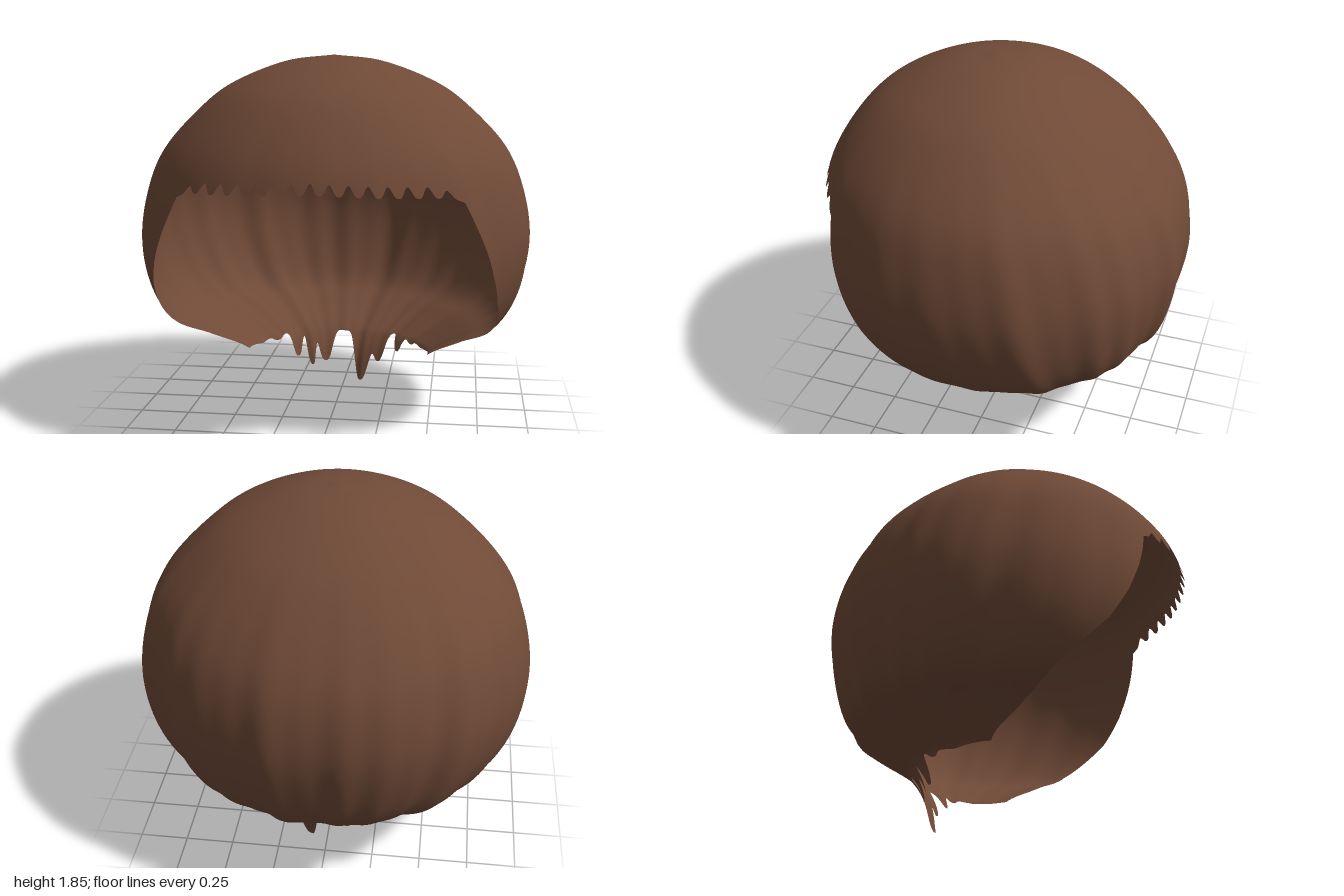
import * as THREE from 'three';

// Cross-sections from crown to nape: [y, half width, centre z, front radius, back radius]
const SECTIONS = [
  [1.85, 0, 0.08, 0, 0], [1.82, 0.24, 0.07, 0.24, 0.21], [1.72, 0.5, 0.05, 0.5, 0.42],
  [1.6, 0.67, 0.03, 0.68, 0.58], [1.4, 0.86, 0, 0.86, 0.74], [1.2, 0.95, 0, 0.94, 0.86],
  [0.95, 0.99, 0, 1.0, 0.91], [0.7, 0.95, -0.02, 1.05, 0.86], [0.5, 0.84, -0.04, 1.0, 0.77],
  [0.4, 0.68, -0.07, 0.8, 0.63], [0.3, 0.53, -0.1, 0.5, 0.45], [0.25, 0.47, -0.1, 0.45, 0.39],
  [0.15, 0.44, -0.1, 0.4, 0.33], [0, 0.4, -0.1, 0.4, 0.29],
];
// Height of the hem by angle from the front, in degrees
const HEM = [
  [0, 1.265], [40, 1.235], [44, 1.21], [47, 1.1], [50, 1.0], [55, 0.85], [61, 0.7], [67, 0.6],
  [73, 0.5], [78, 0.36], [84, 0.27], [110, 0.25], [128, 0.26], [140, 0.27], [180, 0.26],
];
// Loose strands at the nape: [angle, tip height, half width]
const STRANDS = [
  [127, 0.24, 4], [138, 0.18, 4], [154, 0.11, 5], [167, 0, 7],
  [195, 0.1, 6], [206, 0.08, 3.5], [217, 0.13, 5], [233, 0.24, 5],
];

const shape = new THREE.CatmullRomCurve3(
  SECTIONS.map((s) => new THREE.Vector3(s[0], s[1], s[2])), false, 'catmullrom');
const depth = new THREE.CatmullRomCurve3(
  SECTIONS.map((s) => new THREE.Vector3(s[3], s[4], 0)), false, 'catmullrom');

function hemHeight(a) {
  const deg = THREE.MathUtils.radToDeg(a);
  const side = deg > 180 ? 360 - deg : deg;
  let k = 0;
  while (k < HEM.length - 2 && side > HEM[k + 1][0]) k++;
  const [a0, y0] = HEM[k];
  const [a1, y1] = HEM[k + 1];
  let y = y0 + (y1 - y0) * (side - a0) / (a1 - a0);
  // scalloped fringe
  const fringe = 1 - THREE.MathUtils.smoothstep(side, 36, 43);
  y += fringe * 0.05 * Math.pow(Math.abs(Math.cos(Math.sin(a) * 35)), 3);
  // strands and the notches between them
  for (const [angle, tip, width] of STRANDS) {
    y += (tip - 0.26) * Math.exp(-Math.pow(Math.abs(deg - angle) / width, 3));
  }
  return Math.max(0, y);
}

// Curve parameter at a given height
function paramAt(y) {
  let lo = 0, hi = 1;
  const p = new THREE.Vector3();
  for (let i = 0; i < 22; i++) {
    const mid = (lo + hi) / 2;
    if (shape.getPoint(mid, p).x > y) lo = mid;
    else hi = mid;
  }
  return (lo + hi) / 2;
}

// Soft pleats that sweep towards the nape
function pleat(a, u) {
  const q = a - 0.75 * u * u * Math.sin(a);
  const wave = Math.sin(11 * q + 1) + 0.6 * Math.sin(17 * q + 2.5) + 0.4 * Math.sin(29 * q);
  const strength = THREE.MathUtils.smoothstep(u, 0.08, 0.6) * (0.65 - 0.35 * Math.cos(a));
  return 1 + 0.011 * strength * wave;
}

function hairGeometry(cols, rows) {
  const positions = [], index = [];
  const s = new THREE.Vector3(), d = new THREE.Vector3();
  for (let i = 0; i < cols; i++) {
    const a = (i / cols) * Math.PI * 2;
    const end = paramAt(hemHeight(a));
    for (let j = 0; j <= rows; j++) {
      const u = end * j / rows;
      shape.getPoint(u, s);
      depth.getPoint(u, d);
      const r = pleat(a, u);
      const c = Math.cos(a);
      positions.push(s.y * Math.sin(a) * r, s.x, s.z + (c > 0 ? d.x : d.y) * c * r);
      if (j === rows) continue;
      const p = i * (rows + 1) + j;
      const n = ((i + 1) % cols) * (rows + 1) + j;
      if (j > 0) index.push(p, p + 1, n);
      index.push(n, p + 1, n + 1);
    }
  }
  const geometry = new THREE.BufferGeometry();
  geometry.setAttribute('position', new THREE.Float32BufferAttribute(positions, 3));
  geometry.setIndex(index);
  geometry.computeVertexNormals();
  // one shared direction at the crown
  for (let i = 0; i < cols; i++) geometry.attributes.normal.setXYZ(i * (rows + 1), 0, 1, 0);
  return geometry;
}

export function createModel() {
  const brown = new THREE.MeshStandardMaterial({ color: 0x704a37, side: THREE.DoubleSide });
  brown.name = 'brown hair';
  const hair = new THREE.Mesh(hairGeometry(720, 56), brown);
  hair.name = 'hair';
  const group = new THREE.Group();
  group.name = 'bobHair';
  group.add(hair);
  return group;
}
